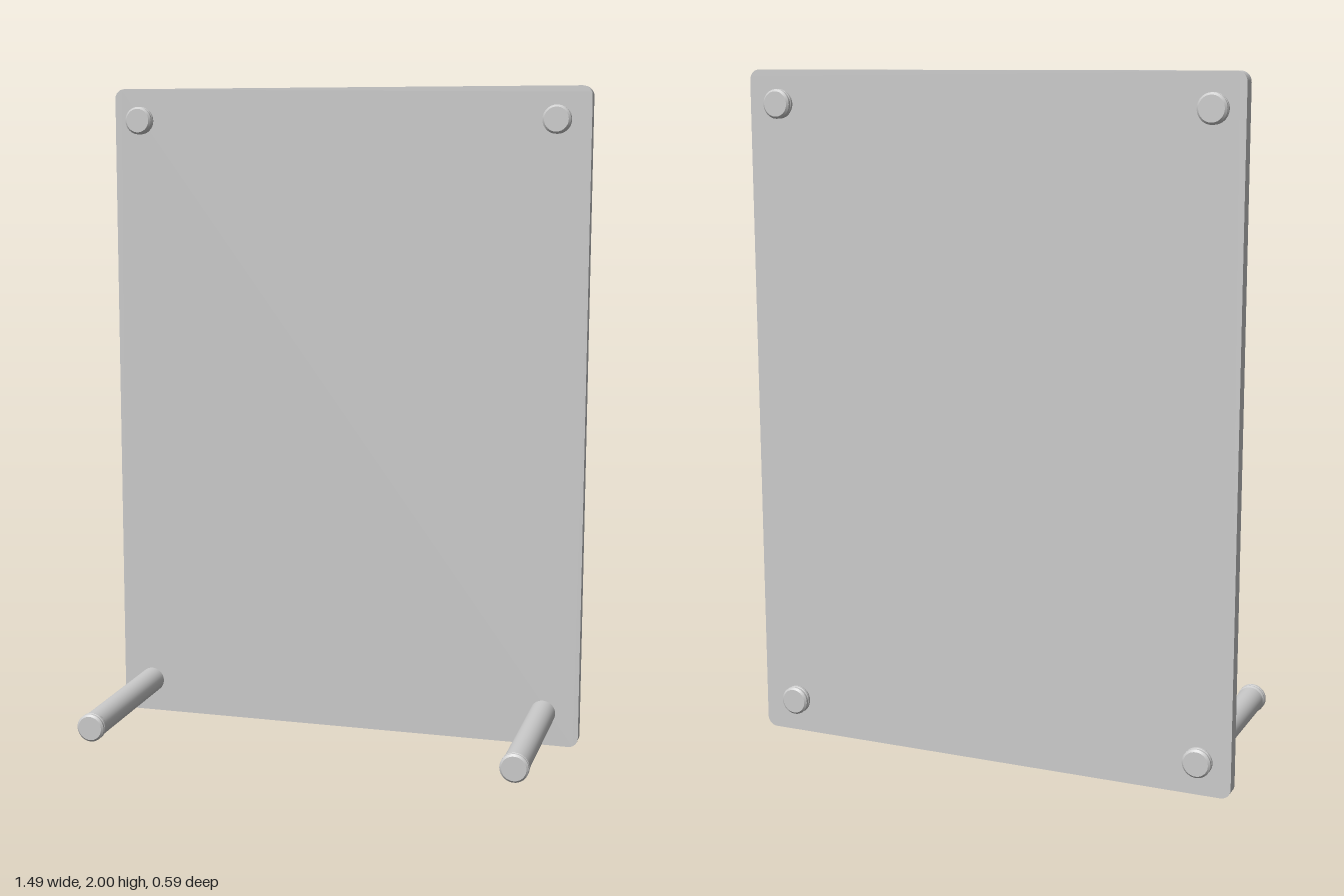
import * as THREE from 'three';

const material = new THREE.MeshStandardMaterial({ color: 0xcccccc });
const BACK = -0.265, FRONT = -0.226; // panel faces

// Solid turned along z: profile of [radius, distance], dir +1 faces front, -1 faces back
function turned(name, profile, x, y, z, dir) {
  const parts = new THREE.Group();
  parts.name = name;
  // each band is its own lathe so that its edges stay crisp
  for (let i = 0; i < profile.length - 1; i++) {
    const pts = [profile[i], profile[i + 1]].map(([r, d]) => new THREE.Vector2(r, d));
    const mesh = new THREE.Mesh(new THREE.LatheGeometry(pts, 40), material);
    mesh.name = name + 'Band';
    parts.add(mesh);
  }
  parts.rotation.x = dir * Math.PI / 2;
  parts.position.set(x, y, z);
  return parts;
}

// Rounded end with a narrow groove behind the rim, starting at distance d
const knob = (d, h) => [
  [0.039, d], [0.042, d + h * 0.2], [0.042, d + h * 0.42], [0.040, d + h * 0.5],
  [0.042, d + h * 0.58], [0.042, d + h * 0.82], [0.036, d + h], [0, d + h],
];

// Upright sheet with rounded corners
function createPanel() {
  const w = 0.743, r = 0.03, h = 2;
  const s = new THREE.Shape();
  s.moveTo(-w + r, 0);
  s.lineTo(w - r, 0);
  s.absarc(w - r, r, r, -Math.PI / 2, 0);
  s.lineTo(w, h - r);
  s.absarc(w - r, h - r, r, 0, Math.PI / 2);
  s.lineTo(-w + r, h);
  s.absarc(-w + r, h - r, r, Math.PI / 2, Math.PI);
  s.lineTo(-w, r);
  s.absarc(-w + r, r, r, Math.PI, Math.PI * 1.5);
  const geometry = new THREE.ExtrudeGeometry(s, { depth: FRONT - BACK, bevelEnabled: false, curveSegments: 8 });
  const panel = new THREE.Mesh(geometry, material);
  panel.name = 'panel';
  panel.position.z = BACK;
  return panel;
}

export function createModel() {
  const model = new THREE.Group();
  model.name = 'panelStand';
  model.add(createPanel());

  // Upper fasteners: a cap on each face
  for (const x of [-0.657, 0.644]) {
    model.add(turned('upperFrontCap', knob(0, 0.035), x, 1.903, FRONT, 1));
    model.add(turned('upperBackCap', knob(0, 0.031), x, 1.903, BACK, -1));
  }

  // Lower fasteners: a long leg in front, a cap behind
  for (const x of [-0.649, 0.633]) {
    model.add(turned('leg', [[0.039, 0], ...knob(0.488, 0.03)], x, 0.102, FRONT, 1));
    model.add(turned('lowerBackCap', knob(0, 0.031), x, 0.102, BACK, -1));
  }
  return model;
}
